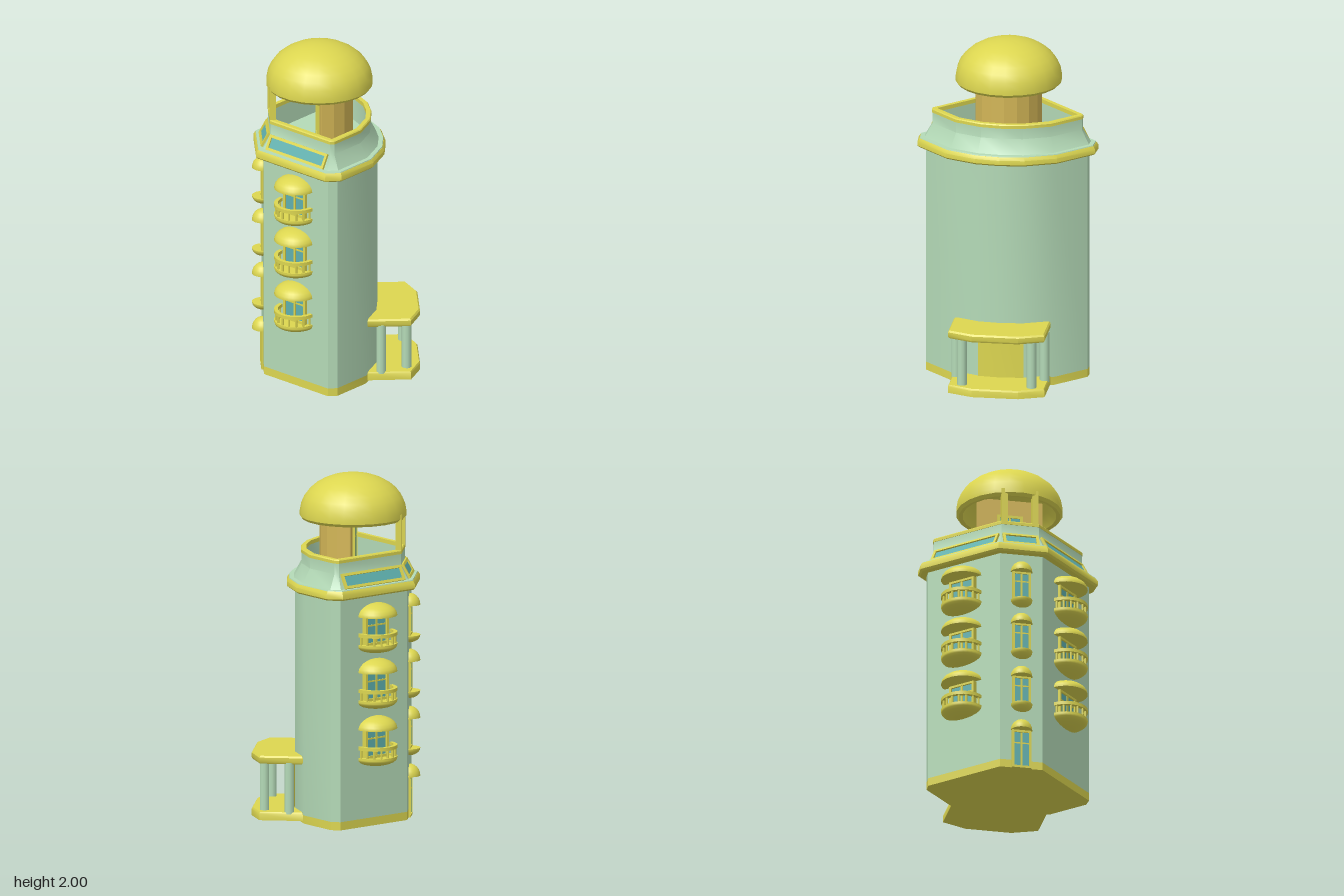
import * as THREE from 'three';
import { toCreasedNormals } from 'three/addons/utils/BufferGeometryUtils.js';

const mat = (name, color) => Object.assign(new THREE.MeshStandardMaterial({ color }), { name });

// Tower plan as [x, z], mirrored about the diagonal: chamfered back corner, bowed front corner
const PLAN = [[-0.195, -0.372], [0.296, -0.372], [0.333, -0.33], [0.333, -0.085], [0.265, 0.08], [0.182, 0.182],
  [0.08, 0.265], [-0.085, 0.333], [-0.33, 0.333], [-0.372, 0.296], [-0.372, -0.195]];
const PORCH = [[0.328, -0.068], [0.506, 0.11], [0.445, 0.255], [0.255, 0.445], [0.11, 0.506], [-0.068, 0.328]];

// Mitred offset of a convex plan (positive = outward)
function offset(plan, d) {
  const n = plan.length;
  const normal = i => {
    const a = plan[i % n], b = plan[(i + 1) % n];
    const dx = b[0] - a[0], dz = b[1] - a[1], l = Math.hypot(dx, dz);
    return [dz / l, -dx / l];
  };
  return plan.map(([x, z], i) => {
    const p = normal(i + n - 1), q = normal(i);
    const k = d / (1 + p[0] * q[0] + p[1] * q[1]);
    return [x + (p[0] + q[0]) * k, z + (p[1] + q[1]) * k];
  });
}

// Skin through [offset, y] levels of a plan, optionally capped at both ends
function loft(plan, levels, caps = true) {
  const pos = [], n = plan.length;
  const rings = levels.map(([d, y]) => offset(plan, d).map(([x, z]) => [x, y, z]));
  for (let k = 0; k < rings.length - 1; k++) {
    for (let i = 0; i < n; i++) {
      const j = (i + 1) % n, lo = rings[k], hi = rings[k + 1];
      pos.push(...lo[i], ...hi[i], ...hi[j], ...lo[i], ...hi[j], ...lo[j]);
    }
  }
  if (caps) {
    const lo = rings[0], hi = rings[rings.length - 1];
    for (let i = 1; i < n - 1; i++) pos.push(...lo[0], ...lo[i], ...lo[i + 1], ...hi[0], ...hi[i + 1], ...hi[i]);
  }
  const g = new THREE.BufferGeometry();
  g.setAttribute('position', new THREE.Float32BufferAttribute(pos, 3));
  return toCreasedNormals(g, 0.55);
}

export function createModel() {
  const yellow = mat('yellow trim', 0xdcd650);
  const mint = mat('mint wall', 0xb4dab7);
  const teal = mat('teal glass', 0x5fb0ae);
  const tan = mat('tan lantern', 0xd3b657);

  const model = new THREE.Group();
  model.name = 'tower';
  const tower = new THREE.Group();
  tower.name = 'towerParts';
  tower.position.set(-0.006, 0, 0.006);
  model.add(tower);

  const add = (parent, name, geo, material, x = 0, y = 0, z = 0) => {
    const m = new THREE.Mesh(geo, material);
    m.name = name;
    m.position.set(x, y, z);
    parent.add(m);
    return m;
  };
  const box = (parent, name, material, w, h, d, x, y, z) =>
    add(parent, name, new THREE.BoxGeometry(w, h, d), material, x, y, z);
  // Group whose local +z faces out of a wall
  const facing = (parent, name, x, y, z, angle) => {
    const g = new THREE.Group();
    g.name = name;
    g.position.set(x, y, z);
    g.rotation.y = angle;
    parent.add(g);
    return g;
  };

  // Main shaft
  add(tower, 'basePlinth', loft(PLAN, [[0, 0], [0, 0.048]]), yellow);
  add(tower, 'shaft', loft(PLAN, [[0, 0.048], [0, 1.36]]), mint);
  add(tower, 'cornice', loft(PLAN, [[0, 1.35], [0.036, 1.35], [0.047, 1.36], [0.047, 1.385], [0.036, 1.403]]), yellow);
  add(tower, 'parapet', loft(PLAN, [[0.036, 1.4], [0.033, 1.408], [0.007, 1.408], [-0.037, 1.49], [-0.037, 1.558],
    [-0.062, 1.558], [-0.062, 1.42]]), mint);
  add(tower, 'parapetRim', loft(PLAN, [[-0.064, 1.553], [-0.034, 1.553], [-0.034, 1.57], [-0.039, 1.576],
    [-0.064, 1.576], [-0.064, 1.553]], false), yellow);

  // Framed glazing, w x h, standing on local y = 0
  function glazing(parent, name, w, h, bar, depth, mullions) {
    const g = facing(parent, name, 0, 0, 0, 0);
    box(g, 'glass', teal, w - bar, h - bar, 0.008, 0, h / 2, 0.003);
    for (const s of [-1, 1]) {
      box(g, 'frameSide', yellow, bar, h, depth, s * (w - bar) / 2, h / 2, 0);
      box(g, 'frameRail', yellow, w, bar, depth, 0, h / 2 + s * (h - bar) / 2, 0);
    }
    if (mullions) {
      box(g, 'mullion', yellow, bar * 0.8, h, depth * 0.8, 0, h / 2, 0);
      box(g, 'transom', yellow, w, bar * 0.6, depth * 0.6, 0, h * 0.66, 0);
    }
    return g;
  }

  // Half-round canopy with flat underside
  function canopy(parent, r, h, y) {
    const dome = new THREE.SphereGeometry(r, 16, 6, 0, Math.PI, 0, Math.PI / 2).scale(1, h / r, 1);
    add(parent, 'canopy', dome, yellow, 0, y);
    add(parent, 'canopyUnderside', new THREE.CircleGeometry(r, 16, 0, Math.PI).rotateX(Math.PI / 2), yellow, 0, y);
  }
  // Half-round bowl with flat floor
  function bowl(parent, r, h, y) {
    const dish = new THREE.SphereGeometry(r, 16, 6, 0, Math.PI, Math.PI / 2, Math.PI / 2).scale(1, h / r, 1);
    add(parent, 'bowl', dish, yellow, 0, y);
    add(parent, 'bowlFloor', new THREE.CircleGeometry(r, 16, Math.PI, Math.PI).rotateX(-Math.PI / 2), yellow, 0, y);
  }
  // Half-ring of rectangular section
  function halfRing(parent, name, r0, r1, y0, y1) {
    const pts = [[r0, y0], [r1, y0], [r1, y1], [r0, y1], [r0, y0]].map(p => new THREE.Vector2(...p));
    add(parent, name, toCreasedNormals(new THREE.LatheGeometry(pts, 16, -Math.PI / 2, Math.PI), 0.6), yellow);
  }

  const walls = [
    { name: 'side', x: -0.372, z: 0.05, angle: -Math.PI / 2, gap: 0, slope: 0.44 },
    { name: 'back', x: 0.05, z: -0.372, angle: Math.PI, gap: 0.014, slope: 0.44 },
    { name: 'corner', x: -0.2835, z: -0.2835, angle: -Math.PI * 3 / 4, gap: 0, slope: 0.21 },
  ];
  const floors = [0.355, 0.69, 1.016];

  for (const w of walls) {
    const wall = facing(tower, w.name + 'Wall', w.x, 0, w.z, w.angle);

    // Sloped window under the parapet
    const slope = glazing(wall, 'slopedWindow', w.slope, 0.092, 0.016, 0.03, false);
    slope.position.set(0, 1.406, 0.006);
    slope.rotation.x = -0.49;

    for (const y of floors) {
      const bay = facing(wall, 'balcony', 0, y, w.gap, 0);
      if (w.name === 'corner') {
        // Narrow window with cap and cup
        canopy(bay, 0.063, 0.066, 0.222);
        bowl(bay, 0.063, 0.045, 0.046);
        glazing(bay, 'narrowWindow', 0.11, 0.18, 0.014, 0.024, true).position.y = 0.044;
      } else {
        // Wide balcony with railing
        canopy(bay, 0.126, 0.073, 0.218);
        bowl(bay, 0.126, 0.045, 0.045);
        halfRing(bay, 'balconyCurb', 0.1, 0.126, 0.045, 0.056);
        halfRing(bay, 'handrail', 0.104, 0.126, 0.102, 0.122);
        for (let i = 0; i <= 8; i++) {
          const a = Math.PI * (0.03 + 0.94 * i / 8);
          add(bay, 'baluster', new THREE.CylinderGeometry(0.007, 0.007, 0.06, 6), yellow,
            0.114 * Math.cos(a), 0.078, 0.114 * Math.sin(a));
        }
        glazing(bay, 'balconyDoor', 0.17, 0.175, 0.015, 0.034, true).position.y = 0.045;
      }
    }

    if (w.name === 'corner') {
      // Ground door and the two posts carrying the dome
      canopy(wall, 0.063, 0.068, 0.237);
      glazing(wall, 'groundDoor', 0.115, 0.237, 0.014, 0.024, true);
      for (const s of [-1, 1]) box(wall, 'domePost', yellow, 0.036, 0.22, 0.036, s * 0.09, 1.67, -0.052);
    }
  }

  // Half-round lantern with a glazed flat back
  const lantern = facing(tower, 'lantern', -0.054, 0, -0.054, Math.PI / 4);
  const drum = new THREE.CylinderGeometry(0.193, 0.193, 0.42, 8, 1, false, -Math.PI / 2, Math.PI);
  add(lantern, 'lanternDrum', toCreasedNormals(drum, 0.1), tan, 0, 1.63);
  box(lantern, 'lanternBack', tan, 0.386, 0.42, 0.008, 0, 1.63, 0);
  const lanternDoor = glazing(lantern, 'lanternDoor', 0.15, 0.32, 0.016, 0.024, true);
  lanternDoor.position.set(0, 1.42, -0.006);
  lanternDoor.rotation.y = Math.PI;

  // Hollow dome
  const profile = [[0, 1.91], [0.14, 1.885], [0.235, 1.81], [0.27, 1.742], [0.292, 1.738], [0.307, 1.755], [0.307, 1.78]];
  for (let i = 1; i <= 8; i++) {
    const a = i / 8 * Math.PI / 2;
    profile.push([0.304 * Math.cos(a), 1.785 + 0.215 * Math.sin(a)]);
  }
  const dome = new THREE.LatheGeometry(profile.map(p => new THREE.Vector2(Math.max(0, p[0]), p[1])), 22);
  add(tower, 'dome', toCreasedNormals(dome, 0.6), yellow, -0.054, 0, -0.054);

  // Entrance porch on the bowed corner
  add(tower, 'porchFloor', loft(PORCH, [[0, 0.012], [0, 0.05], [-0.006, 0.06]]), yellow);
  add(tower, 'porchRoof', loft(PORCH, [[-0.006, 0.342], [0, 0.352], [0, 0.378], [-0.008, 0.388]]), yellow);
  add(tower, 'entranceDoor', loft(offset(PLAN, 0.006).slice(4, 7), [[0, 0.055], [0, 0.345]]), yellow);
  for (const [x, z] of [[0.006, 0.368], [0.15, 0.435]]) {
    for (const [px, pz] of [[x, z], [z, x]]) {
      const column = new THREE.CylinderGeometry(0.028, 0.028, 0.3, 10);
      add(tower, 'porchColumn', column, mint, px, 0.2, pz);
    }
  }
  return model;
}
